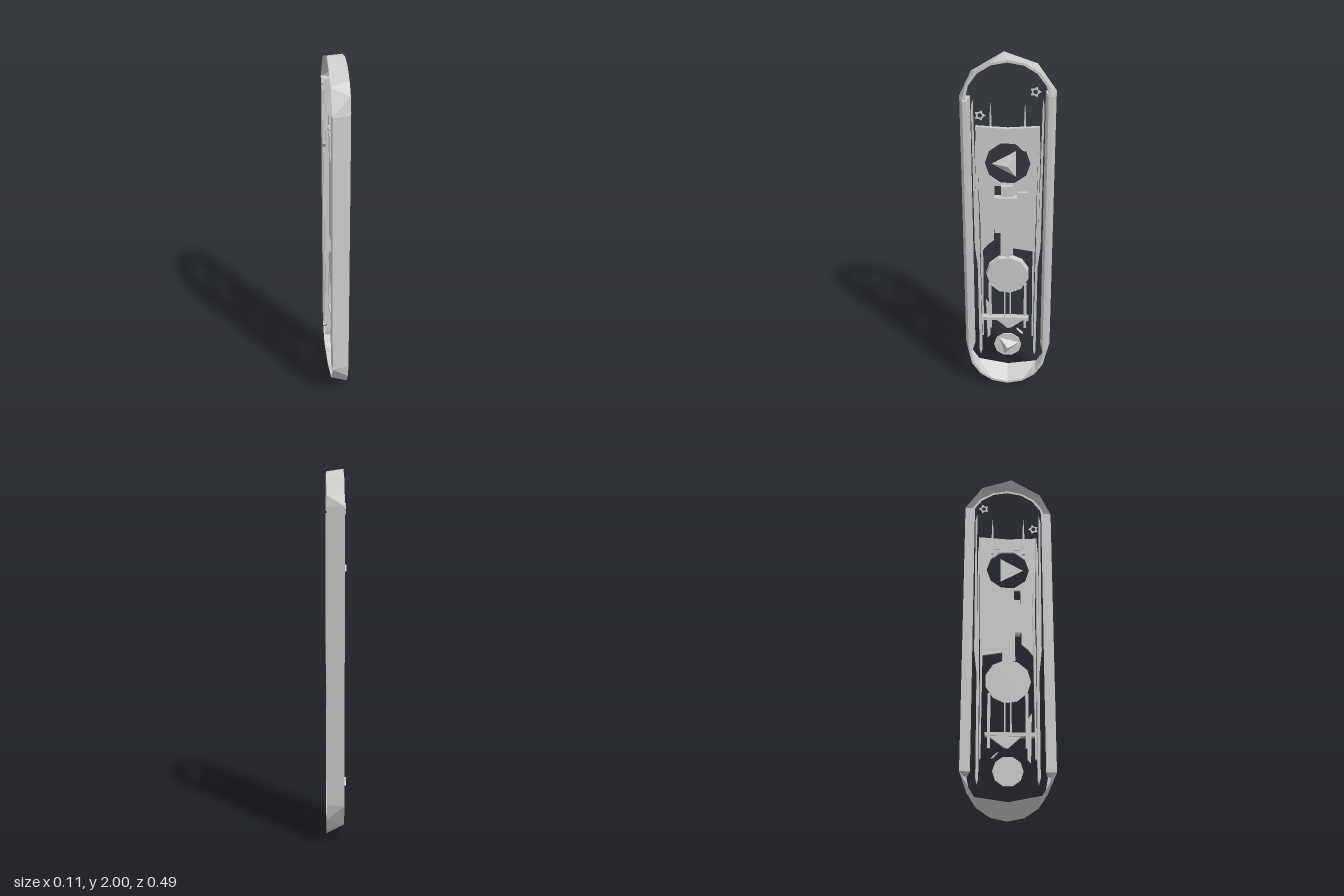
import * as THREE from 'three';

const mat = new THREE.MeshStandardMaterial({ color: 0xcccccc, flatShading: true, side: THREE.DoubleSide });

// Profiles are drawn in (u, y) with u = -z, then stand upright facing +x.
const toShape = (pts) => new THREE.Shape(pts.map(([u, y]) => new THREE.Vector2(u, y)));
const rect = (u0, u1, y0, y1) => [[u0, y0], [u1, y0], [u1, y1], [u0, y1]];
const circle = (u, y, r, n, inner = r) => Array.from({ length: n }, (_, i) => {
  const a = (i / n) * Math.PI * 2, q = i % 2 ? inner : r;
  return [u + q * Math.cos(a), y + q * Math.sin(a)];
});

export function createModel() {
  const model = new THREE.Group();

  const add = (name, geo) => {
    const mesh = new THREE.Mesh(geo, mat);
    mesh.name = name;
    model.add(mesh);
    return mesh;
  };

  // Flat plate of outline pts from x0 to x1, with optional holes
  const plate = (name, pts, x0, x1, holes = []) => {
    const shape = toShape(pts);
    shape.holes = holes.map(toShape);
    const geo = new THREE.ExtrudeGeometry(shape, { depth: x1 - x0, bevelEnabled: false });
    return add(name, geo.rotateY(Math.PI / 2).translate(x0, 0, 0));
  };

  // Frame sides: tapered section in (x, z) run upward, mirrored
  for (const s of [-1, 1]) {
    const section = [[-0.038, 0.247], [0.055, 0.225], [0.055, 0.205], [-0.038, 0.192]];
    const shape = toShape(section.map(([x, z]) => [x, -s * z]));
    const top = s < 0 ? 1.8 : 1.77;
    const geo = new THREE.ExtrudeGeometry(shape, { depth: top - 0.23, bevelEnabled: false });
    add('frameSide', geo.rotateX(-Math.PI / 2).translate(0, 0.23, 0));
  }

  // Frame ends: coarse back edge joined to a finer front arc with a thin lip
  const frameEnd = (name, back, baseY, tipY) => {
    const n = 8;
    const arc = (w, tip) => Array.from({ length: n + 1 }, (_, i) => {
      const a = (i / n) * Math.PI;
      return [0.055, baseY + (tip - baseY) * Math.sin(a), w * Math.cos(a)];
    });
    const rows = [
      Array.from({ length: n + 1 }, (_, i) => {
        const [u, y] = back[Math.round(i / 2)];
        return [-0.038, y, -u];
      }),
      arc(0.225, tipY),
      arc(0.21, baseY + (tipY - baseY) * 0.94),
    ];
    const flip = tipY < baseY;
    const pos = [];
    for (let r = 0; r < 2; r++) {
      for (let i = 0; i < n; i++) {
        const a = rows[r][i], b = rows[r][i + 1], c = rows[r + 1][i + 1], d = rows[r + 1][i];
        for (const tri of [[a, d, c], [a, c, b]]) pos.push(...(flip ? tri.reverse() : tri).flat());
      }
    }
    const geo = new THREE.BufferGeometry();
    geo.setAttribute('position', new THREE.Float32BufferAttribute(pos, 3));
    geo.computeVertexNormals();
    add(name, geo);
  };
  frameEnd('frameTop', [[-0.247, 1.77], [-0.185, 1.9], [-0.02, 2], [0.15, 1.94], [0.247, 1.8]], 1.78, 1.985);
  frameEnd('frameBottom', [[-0.247, 0.23], [-0.17, 0.11], [0, 0.075], [0.17, 0.1], [0.247, 0.23]], 0.23, 0);

  // Inner chassis plate with a round opening and a bay for the centre panel
  plate('chassisPlate',
    [[-0.14, 0.88], [-0.11, 0.92], [-0.075, 0.95], [-0.075, 1.02], [-0.04, 1.02], [-0.04, 0.85], [0.03, 0.85],
      [0.03, 0.9], [0.15, 0.88], [0.16, 1.56], [-0.16, 1.56], [-0.15, 1.1]],
    -0.008, 0.002,
    [circle(0, 1.41, 0.12, 10), rect(-0.07, -0.034, 1.05, 1.28)]);
  plate('upperCrossPlate', [[-0.165, 1.54], [0.165, 1.54], [0.165, 1.62], [0, 1.61], [-0.165, 1.62]], -0.01, 0.012);

  // Raised centre panel and its neck
  plate('centrePanel', rect(-0.07, 0.05, 1.02, 1.23), 0.008, 0.045);
  plate('panelNeck', rect(-0.035, 0.03, 1.22, 1.29), 0, 0.03);
  plate('panelFoot', rect(-0.008, 0.008, 0.85, 1.02), 0, 0.015);
  plate('panelSide', [[0.055, 0.94], [0.1, 0.93], [0.105, 1.25], [0.055, 1.25]], 0.002, 0.02);

  // Long rails, blades, spikes and struts on both sides
  for (const s of [-1, 1]) {
    plate('sideRail', [[s * 0.15, 0.2], [s * 0.157, 0.17], [s * 0.165, 0.2], [s * 0.17, 1.5], [s * 0.16, 1.62],
      [s * 0.158, 1.3]], -0.035, 0.0);
    plate('innerRail', [[s * 0.14, 0.3], [s * 0.148, 0.3], [s * 0.15, 1.0], [s * 0.135, 1.25]], -0.03, -0.01);
    plate('tallBlade', [[s * 0.165, 0.75], [s * 0.182, 0.9], [s * 0.187, 1.72], [s * 0.178, 1.76]], -0.03, -0.015);
    plate('upperSpike', [[s * 0.08, 1.5], [s * 0.096, 1.5], [s * 0.092, 1.68], [s * 0.087, 1.74]], -0.035, -0.022);
    plate('lowerPost', rect(s * 0.1 - 0.008, s * 0.1 + 0.008, 0.36, 0.66), -0.02, -0.005);
    plate('lowerStrut', rect(s * 0.016 - 0.004, s * 0.016 + 0.004, 0.38, 0.62), -0.015, 0.005);
  }
  plate('sideFlap', [[-0.125, 0.55], [-0.105, 0.52], [-0.1, 0.3], [-0.118, 0.28]], -0.02, -0.015);

  // Round button
  const disc = add('roundButton', new THREE.CylinderGeometry(0.115, 0.123, 0.03, 11).rotateZ(-Math.PI / 2));
  disc.position.set(0, 0.73, 0);

  // Lower crossbar with a pointed bracket beneath
  plate('lowerCrossbar', rect(-0.145, 0.12, 0.425, 0.445), -0.02, 0.015);
  plate('crossbarBracket', [[-0.07, 0.425], [0.1, 0.425], [0.02, 0.365], [0, 0.36]], -0.015, 0);

  // Faceted three-sided studs, the lower one on a round base
  const stud = (x, y, r, turn) => {
    const geo = new THREE.ConeGeometry(r, 0.04, 3).rotateZ(-Math.PI / 2).rotateX(turn);
    add('facetedStud', geo).position.set(x, y, 0);
  };
  stud(0, 1.4, 0.085, 0);
  stud(0.015, 0.24, 0.07, -0.8);
  plate('studBase', circle(0, 0.24, 0.08, 10), -0.012, -0.004);

  // Small slanted catches on the back
  for (const y of [1.48, 0.31]) {
    plate('backCatch', [[0.05, y + 0.02], [0.06, y + 0.015], [0.09, y - 0.015], [0.075, y - 0.01]], -0.052, -0.035);
  }

  // Tiny open star clips near the top
  for (const [u, y] of [[-0.145, 1.66], [0.14, 1.79]]) {
    plate('starClip', circle(u, y, 0.03, 10, 0.018), -0.046, -0.04, [circle(u, y, 0.013, 6)]);
  }
  return model;
}
